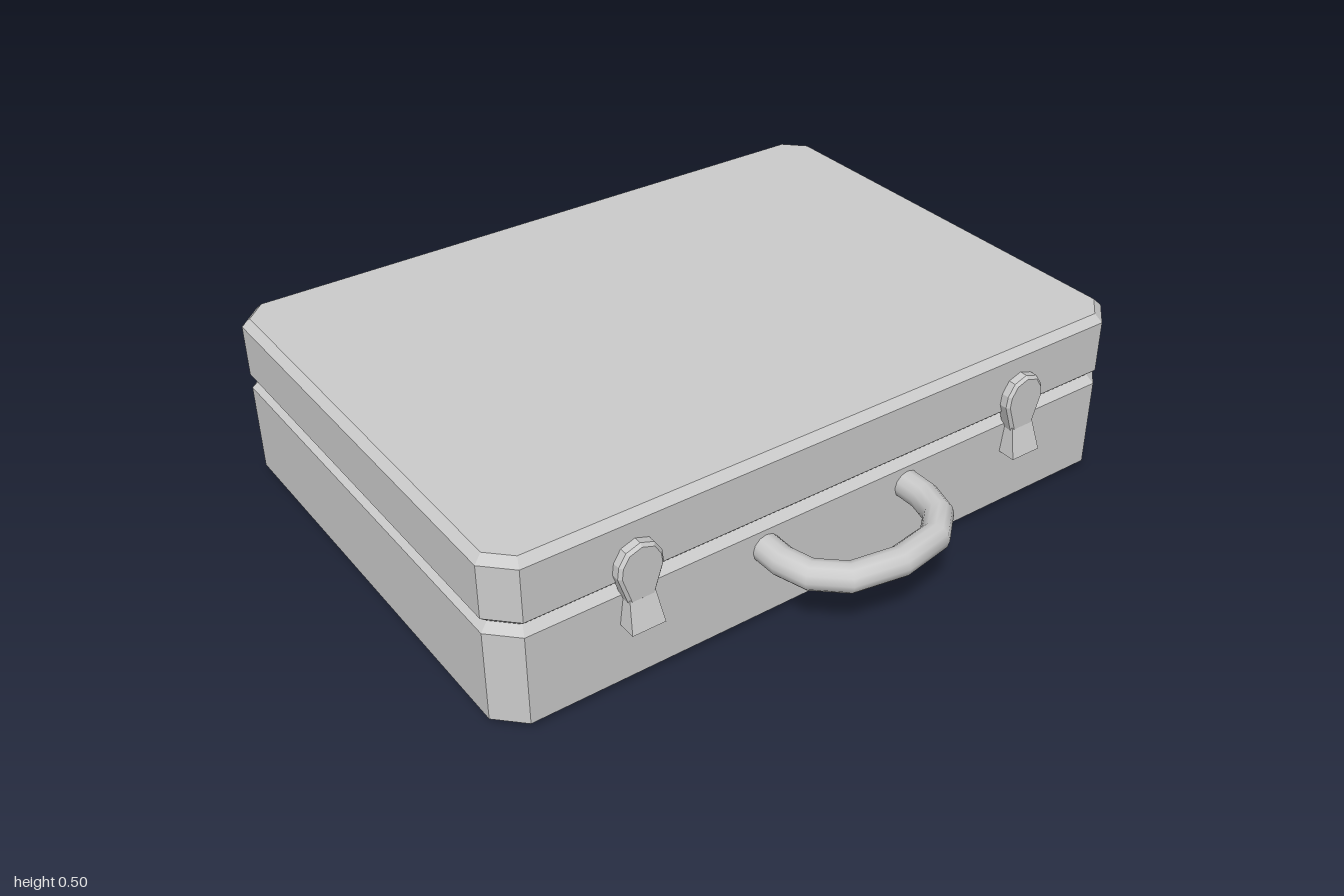
import * as THREE from 'three';

const material = new THREE.MeshStandardMaterial({ color: 0xcccccc });

function addMesh(parent, name, geometry) {
  const mesh = new THREE.Mesh(geometry, material);
  mesh.name = name;
  parent.add(mesh);
  return mesh;
}

// Box with chamfered vertical corners and bevelled top and bottom rims
function caseHalf(y0, y1) {
  const w = 1, d = 0.72, c = 0.072, bevel = 0.022;
  const outline = new THREE.Shape([
    [w, d - c], [w - c, d], [c - w, d], [-w, d - c],
    [-w, c - d], [c - w, -d], [w - c, -d], [w, c - d],
  ].map(([x, y]) => new THREE.Vector2(x, y)));
  const geometry = new THREE.ExtrudeGeometry(outline, {
    depth: y1 - y0 - 2 * bevel, bevelSegments: 1,
    bevelSize: bevel, bevelThickness: bevel, bevelOffset: -bevel,
  });
  return geometry.rotateX(-Math.PI / 2).translate(0, y0 + bevel, -0.14);
}

// Straight segments with a ring of the tube mitred at every corner
class Polyline extends THREE.Curve {
  constructor(points) {
    super();
    this.points = points;
  }
  getPoint(t, target = new THREE.Vector3()) {
    const n = this.points.length - 1;
    const i = Math.min(Math.floor(t * n + 1e-6), n - 1);
    return target.lerpVectors(this.points[i], this.points[i + 1], t * n - i);
  }
  getPointAt(u, target) {
    return this.getPoint(u, target);
  }
  getTangentAt(u, target = new THREE.Vector3()) {
    const p = this.points, i = Math.round(u * (p.length - 1));
    target.set(0, 0, 0);
    if (i > 0) target.add(p[i].clone().sub(p[i - 1]).normalize());
    if (i < p.length - 1) target.add(p[i + 1].clone().sub(p[i]).normalize());
    return target.normalize();
  }
}

function handleGeometry() {
  const half = [[0.233, 0.56], [0.233, 0.648], [0.21, 0.728], [0.138, 0.793]];
  const path = [
    ...half.map(([x, z]) => [-x, z]), [0, 0.817], ...half.slice().reverse(),
  ].map(([x, z]) => new THREE.Vector3(x, 0.23, z));
  return new THREE.TubeGeometry(new Polyline(path), path.length - 1, 0.041, 12);
}

function createLatch() {
  const latch = new THREE.Group();

  // Rounded clasp plate
  const side = [[0.037, 0.27], [0.065, 0.355], [0.061, 0.388], [0.04, 0.421]];
  const outline = new THREE.Shape([
    ...side, [0, 0.435], ...side.slice().reverse().map(([x, y]) => [-x, y]),
  ].map(([x, y]) => new THREE.Vector2(x, y)));
  addMesh(latch, 'latchPlate', new THREE.ExtrudeGeometry(outline, {
    depth: 0.03, bevelSegments: 1, bevelSize: 0.008, bevelThickness: 0.008, bevelOffset: -0.008,
  }).translate(0, 0, 0.572));

  // Finger tab flaring outwards and sideways towards the bottom
  const tab = new THREE.BoxGeometry(1, 1, 1).toNonIndexed();
  const p = tab.attributes.position;
  for (let i = 0; i < p.count; i++) {
    const top = p.getY(i) > 0, front = p.getZ(i) > 0;
    p.setXYZ(i,
      Math.sign(p.getX(i)) * (top ? 0.037 : 0.048),
      top ? 0.282 : 0.197,
      front ? (top ? 0.608 : 0.633) : 0.58);
  }
  tab.computeVertexNormals();
  addMesh(latch, 'latchTab', tab);
  return latch;
}

export function createModel() {
  const briefcase = new THREE.Group();
  briefcase.name = 'briefcase';
  addMesh(briefcase, 'caseBottom', caseHalf(0, 0.308));
  addMesh(briefcase, 'caseLid', caseHalf(0.308, 0.505));
  addMesh(briefcase, 'handle', handleGeometry());
  for (const s of [-1, 1]) {
    const latch = createLatch();
    latch.name = s > 0 ? 'leftLatch' : 'rightLatch';
    latch.position.x = s * 0.622;
    briefcase.add(latch);
  }
  return briefcase;
}
